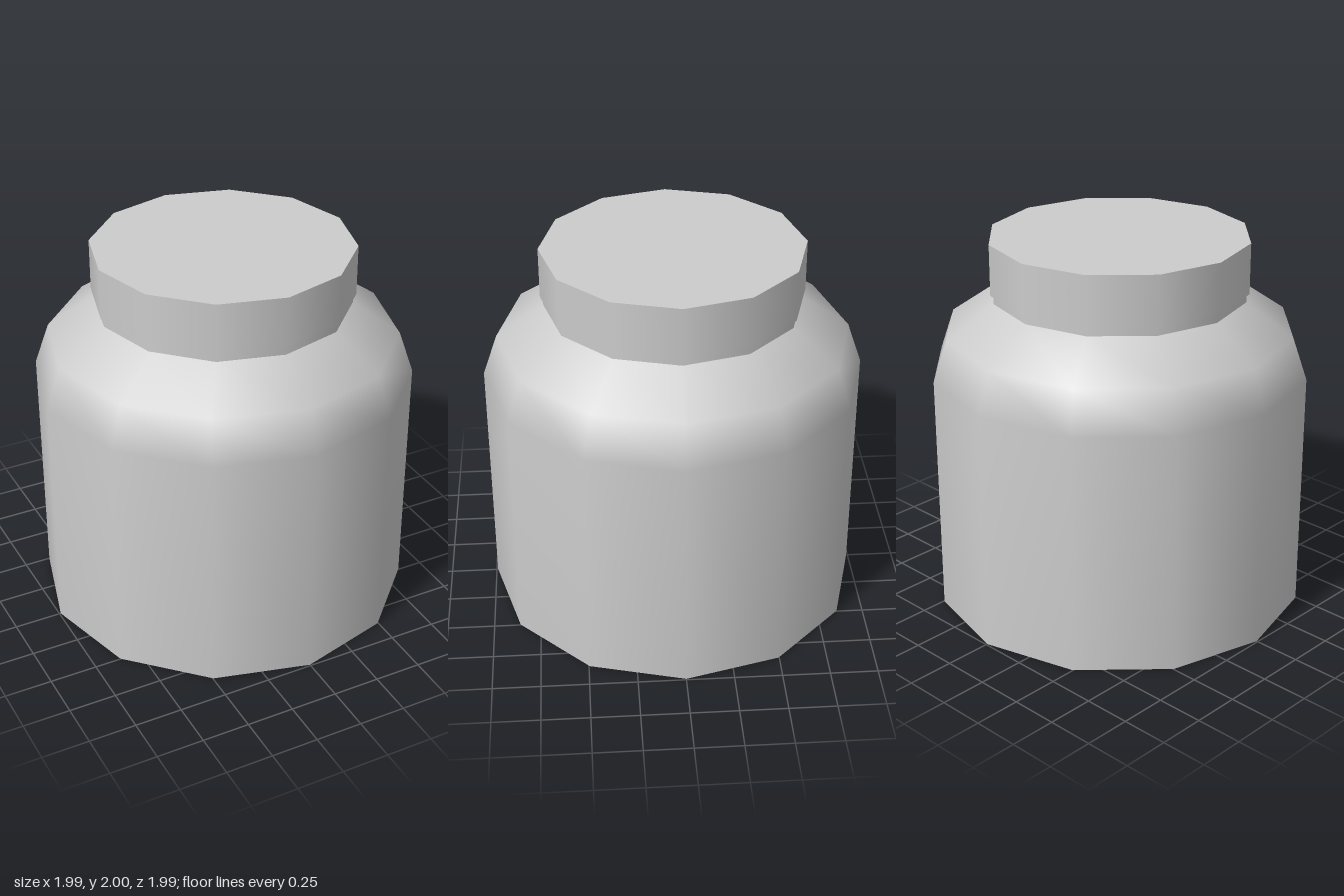
import * as THREE from 'three';

const SIDES = 12;

export function createModel() {
  const group = new THREE.Group();
  const material = new THREE.MeshStandardMaterial({ color: 0xcccccc });

  const add = (name, geometry, y = 0) => {
    const mesh = new THREE.Mesh(geometry, material);
    mesh.name = name;
    mesh.position.y = y;
    group.add(mesh);
  };

  // Upright cylinder between two heights
  const drum = (name, radius, y0, y1, open) =>
    add(name, new THREE.CylinderGeometry(radius, radius, y1 - y0, SIDES, 1, open), (y0 + y1) / 2);

  // Jar wall with sloping shoulder, shaded smoothly
  const profile = [[0.993, 0], [0.993, 1.29], [0.917, 1.51], [0.667, 1.685]]
    .map(([r, y]) => new THREE.Vector2(r, y));
  add('jarBody', new THREE.LatheGeometry(profile, SIDES));

  // Flat bottom
  add('jarBase', new THREE.CircleGeometry(0.993, SIDES).rotateX(Math.PI / 2));

  // Short neck under the lid
  drum('neck', 0.667, 1.685, 1.73, true);

  // Lid
  drum('lid', 0.682, 1.73, 2, false);

  return group;
}
